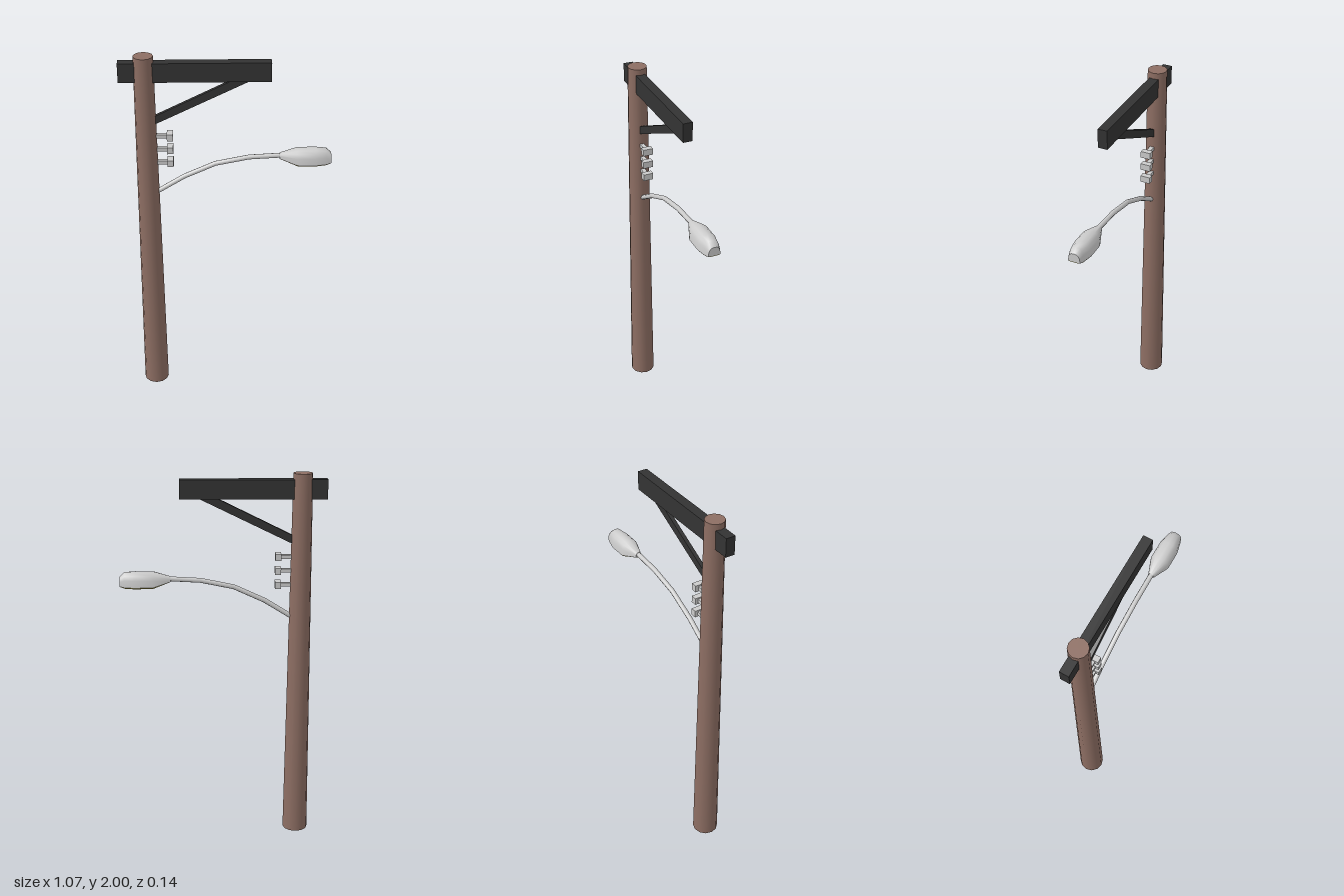
import * as THREE from 'three';
import { toCreasedNormals } from 'three/addons/utils/BufferGeometryUtils.js';

const wood = new THREE.MeshStandardMaterial({ color: 0x8d6e63 });
const black = new THREE.MeshStandardMaterial({ color: 0x333333 });
const metal = new THREE.MeshStandardMaterial({ color: 0xcccccc });
const glass = new THREE.MeshStandardMaterial({ color: 0xc4b656 });
const POLE_X = -0.412;

function add(parent, name, geometry, material, x = 0, y = 0, z = 0) {
  const mesh = new THREE.Mesh(geometry, material);
  mesh.name = name;
  mesh.position.set(x, y, z);
  parent.add(mesh);
  return mesh;
}

// Skin closed rings (running +z, up, -z, down) placed along x, with both ends capped
function loft(rings) {
  const n = rings[0].length;
  const pos = [], index = [];
  rings.forEach(r => r.forEach(p => pos.push(...p)));
  for (let i = 0; i < rings.length - 1; i++) {
    for (let j = 0; j < n; j++) {
      const a = i * n + j, b = i * n + (j + 1) % n;
      index.push(a, a + n, b, b, a + n, b + n);
    }
  }
  const last = (rings.length - 1) * n;
  for (let j = 1; j < n - 1; j++) {
    index.push(0, j, j + 1);
    index.push(last, last + j + 1, last + j);
  }
  const g = new THREE.BufferGeometry();
  g.setAttribute('position', new THREE.Float32BufferAttribute(pos, 3));
  g.setIndex(index);
  return toCreasedNormals(g, 0.8);
}

// Half-oval section standing on y = base; negative height hangs below it
function halfOval(x, w, base, h) {
  const ring = [];
  for (let i = 0; i <= 8; i++) {
    const t = Math.PI * i / 8, c = Math.cos(t);
    ring.push([x, base + h * Math.pow(Math.abs(Math.sin(t)), 0.75), w * Math.sign(c) * Math.pow(Math.abs(c), 0.8)]);
  }
  return h < 0 ? ring.reverse() : ring;
}

export function createModel() {
  const model = new THREE.Group();
  model.name = 'utilityPole';

  // Tapered pole and the beam passing through it
  add(model, 'pole', new THREE.CylinderGeometry(0.05, 0.068, 2, 12), wood, POLE_X, 1, 0);
  add(model, 'crossbeam', new THREE.BoxGeometry(0.757, 0.1, 0.05), black, -0.16, 1.919, 0);

  // Diagonal brace, cut vertically at the pole and horizontally inside the beam
  const brace = new THREE.Shape([[-0.38, 1.628], [0.14, 1.88], [0.044, 1.88], [-0.38, 1.672]]
    .map(([x, y]) => new THREE.Vector2(x, y)));
  add(model, 'brace', new THREE.ExtrudeGeometry(brace, { depth: 0.02, bevelEnabled: false }), black, 0, 0, -0.01);

  // Three insulators: a short arm with a block on the end
  [1.566, 1.492, 1.417].forEach(y => {
    const insulator = new THREE.Group();
    insulator.name = 'insulator';
    insulator.position.y = y;
    add(insulator, 'insulatorArm', new THREE.BoxGeometry(0.09, 0.02, 0.022), metal, -0.345, 0, 0);
    add(insulator, 'insulatorBlock', new THREE.BoxGeometry(0.031, 0.036, 0.054), metal, -0.292, 0, 0);
    model.add(insulator);
  });

  // Curved lamp arm
  const path = new THREE.CatmullRomCurve3([[-0.375, 1.237], [-0.204, 1.341], [-0.034, 1.413], [0.135, 1.442], [0.29, 1.449]]
    .map(([x, y]) => new THREE.Vector3(x, y, 0)));
  add(model, 'lampArm', new THREE.TubeGeometry(path, 4, 0.013, 8), metal);

  // Lamp head: domed housing above, shallow lens below; [x, half width, base, top]
  const lamp = new THREE.Group();
  lamp.name = 'lampHead';
  const stations = [
    [0.27, 0.016, 1.435, 1.462],
    [0.36, 0.051, 1.413, 1.487],
    [0.455, 0.051, 1.411, 1.488],
    [0.51, 0.039, 1.411, 1.485],
    [0.535, 0.032, 1.415, 1.462],
  ];
  add(lamp, 'lampHousing', loft(stations.map(([x, w, b, t]) => halfOval(x, w, b, t - b))), metal);
  const drops = [0.002, 0.012, 0.012, 0.01, 0.003];
  add(lamp, 'lampLens', loft(stations.map(([x, w, b], i) => halfOval(x, w * 0.96, b, -drops[i]))), glass);
  model.add(lamp);

  return model;
}
